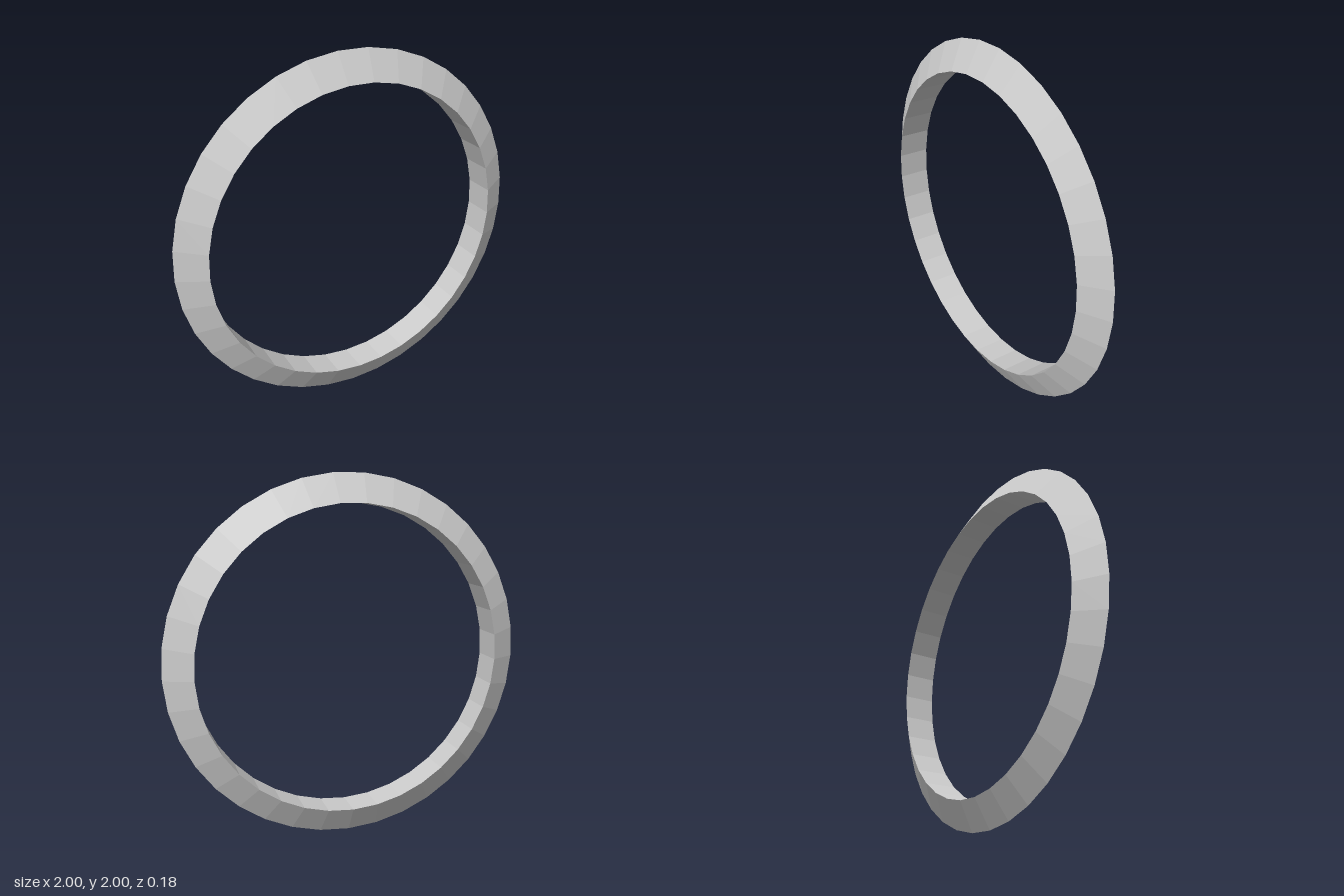
import * as THREE from 'three';

const SEGMENTS = 37;    // facets around the ring
const OUTER = 1.001;    // radius of the sharp outer edge
const INNER = 0.846;    // radius of the flat inner band

export function createModel() {
  const group = new THREE.Group();
  group.name = 'ringModel';

  // Ring with a triangular section: its point faces outward, its flat side inward
  const tube = (OUTER - INNER) / 1.5;
  const geometry = new THREE.TorusGeometry(OUTER - tube, tube, 3, SEGMENTS);
  geometry.rotateZ(-Math.PI / 2); // one corner at the very bottom
  geometry.translate(0, OUTER, 0);

  const material = new THREE.MeshStandardMaterial({ color: 0xcccccc, flatShading: true });
  const ring = new THREE.Mesh(geometry, material);
  ring.name = 'ring';
  group.add(ring);
  return group;
}
